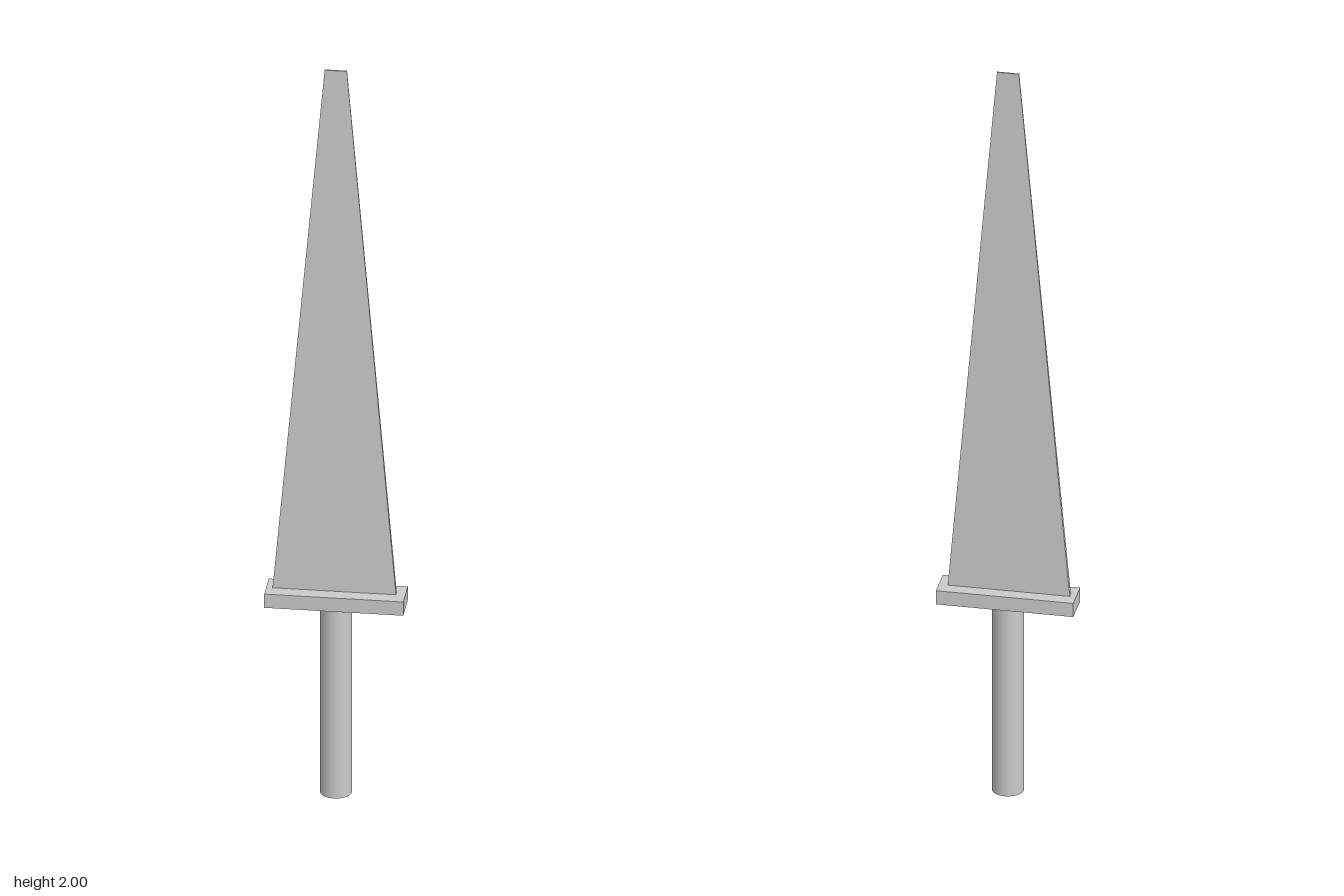
import * as THREE from 'three';

export function createModel() {
  const model = new THREE.Group();
  const material = new THREE.MeshStandardMaterial({ color: 0xcccccc });

  const addPart = (name, geometry, x, y, z) => {
    const mesh = new THREE.Mesh(geometry, material);
    mesh.name = name;
    mesh.position.set(x, y, z);
    model.add(mesh);
  };

  // Round grip, standing on its pommel end
  const gripHeight = 0.52;
  addPart('grip', new THREE.CylinderGeometry(0.04, 0.04, gripHeight, 32), 0, gripHeight / 2, 0);

  // Flat rectangular crossguard
  const guardHeight = 0.038;
  addPart('crossguard', new THREE.BoxGeometry(0.348, guardHeight, 0.087), 0, gripHeight + guardHeight / 2, 0);

  // Thin blade: a box narrowed in width and thickness towards its blunt tip
  const bladeBase = gripHeight + guardHeight;
  const bladeHeight = 2 - bladeBase;
  const blade = new THREE.BoxGeometry(0.309, bladeHeight, 0.014);
  const points = blade.attributes.position;
  for (let i = 0; i < points.count; i++) {
    if (points.getY(i) > 0) {
      points.setX(i, points.getX(i) * 0.18 + 0.003);
      points.setZ(i, points.getZ(i) * 0.3);
    }
  }
  blade.computeVertexNormals();
  addPart('blade', blade, -0.0035, bladeBase + bladeHeight / 2, -0.001);

  return model;
}
